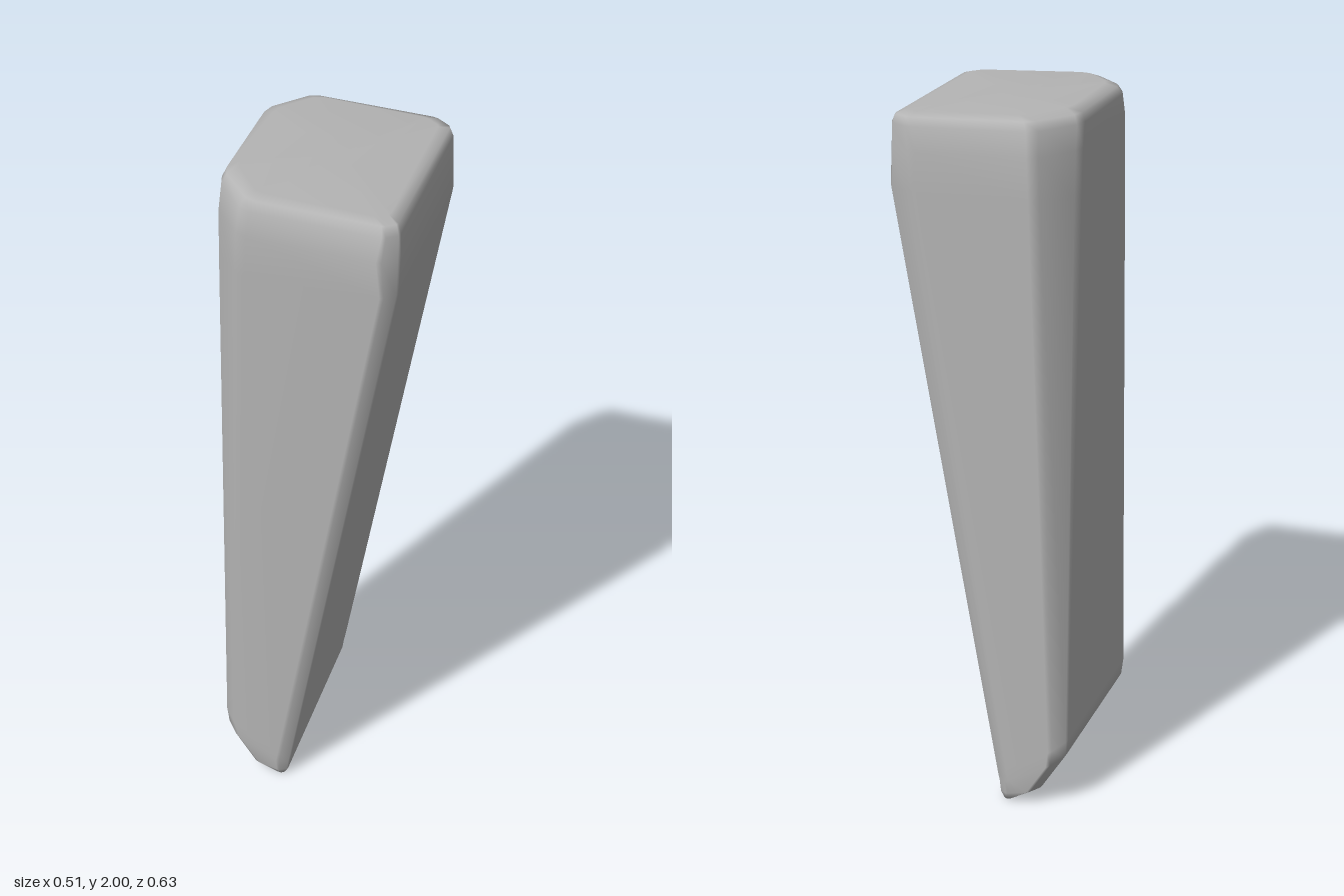
import * as THREE from 'three';

const lerp = THREE.MathUtils.lerp;

// One tilted cross-section: a rectangle with four softened corner cuts.
// cuts run front-right, back-right, back-left, front-left as [cutX, cutZ].
function section({ y, x, z, cuts }) {
  const [xl, xr] = x, [zb, zf] = z, [yl, yr] = y;
  const corners = [[xr, zf, 1, 1], [xr, zb, 1, -1], [xl, zb, -1, -1], [xl, zf, -1, 1]];
  const points = [];
  corners.forEach(([cx, cz, sx, sz], i) => {
    const [dx, dz] = cuts[i];
    const at = (u, v) => {
      const px = cx - sx * dx * u, pz = cz - sz * dz * v;
      points.push(new THREE.Vector3(px, lerp(yl, yr, (px - xl) / (xr - xl)), pz));
    };
    const steps = [[1.15, 0], [0.85, 0.1], [0.1, 0.85], [0, 1.15]];
    if (i % 2) steps.reverse();
    steps.forEach(([u, v]) => at(u, v));
  });
  return points;
}

// Skin a stack of sections and close both ends
function loft(rings) {
  const n = rings[0].length, last = rings.length - 1;
  const points = rings.flat();
  const index = [];
  for (let i = 0; i < last; i++) {
    for (let j = 0; j < n; j++) {
      const a = i * n + j, b = i * n + (j + 1) % n;
      index.push(a, b, a + n, b, b + n, a + n);
    }
  }
  const centre = (ring) => ring.reduce((s, p) => s.add(p), new THREE.Vector3()).divideScalar(n);
  const low = points.length, high = low + 1;
  points.push(centre(rings[0]), centre(rings[last]));
  for (let j = 0; j < n; j++) {
    const k = (j + 1) % n;
    index.push(low, k, j, high, last * n + j, last * n + k);
  }
  const geometry = new THREE.BufferGeometry().setFromPoints(points);
  geometry.setIndex(index);
  geometry.computeVertexNormals();
  return geometry;
}

export function createModel() {
  const stone = new THREE.MeshStandardMaterial({ color: 0xb4b4b4 });
  stone.name = 'stone grey';

  const sections = [
    // wedge tip and its bevelled left side
    { y: [0.004, 0], x: [-0.1, -0.07], z: [-0.295, 0.285], cuts: [[0.01, 0.01], [0.01, 0.01], [0.01, 0.01], [0.01, 0.01]] },
    { y: [0.05, 0.02], x: [-0.18, -0.06], z: [-0.308, 0.3], cuts: [[0.025, 0.02], [0.025, 0.02], [0.03, 0.03], [0.03, 0.03]] },
    { y: [0.16, 0.05], x: [-0.249, -0.055], z: [-0.31, 0.303], cuts: [[0.03, 0.022], [0.03, 0.025], [0.04, 0.04], [0.04, 0.04]] },
    { y: [0.21, 0.08], x: [-0.255, -0.049], z: [-0.31, 0.303], cuts: [[0.03, 0.022], [0.03, 0.025], [0.04, 0.04], [0.04, 0.04]] },
    // long flaring shaft
    { y: [1.78, 1.78], x: [-0.252, 0.253], z: [-0.314, 0.314], cuts: [[0.035, 0.03], [0.07, 0.045], [0.09, 0.11], [0.095, 0.11]] },
    { y: [1.9, 1.88], x: [-0.252, 0.254], z: [-0.312, 0.312], cuts: [[0.045, 0.04], [0.08, 0.055], [0.095, 0.115], [0.1, 0.115]] },
    // rounded rim and gently sloping top
    { y: [1.965, 1.945], x: [-0.25, 0.252], z: [-0.3, 0.297], cuts: [[0.035, 0.03], [0.065, 0.045], [0.098, 0.12], [0.105, 0.12]] },
    { y: [1.988, 1.968], x: [-0.24, 0.242], z: [-0.288, 0.28], cuts: [[0.03, 0.025], [0.05, 0.035], [0.098, 0.118], [0.105, 0.118]] },
    { y: [2.0, 1.978], x: [-0.21, 0.215], z: [-0.262, 0.255], cuts: [[0.03, 0.025], [0.045, 0.03], [0.09, 0.11], [0.095, 0.11]] },
  ];

  const pillar = new THREE.Mesh(loft(sections.map(section)), stone);
  pillar.name = 'rockPillar';

  const model = new THREE.Group();
  model.name = 'wedgeRock';
  model.add(pillar);
  return model;
}
